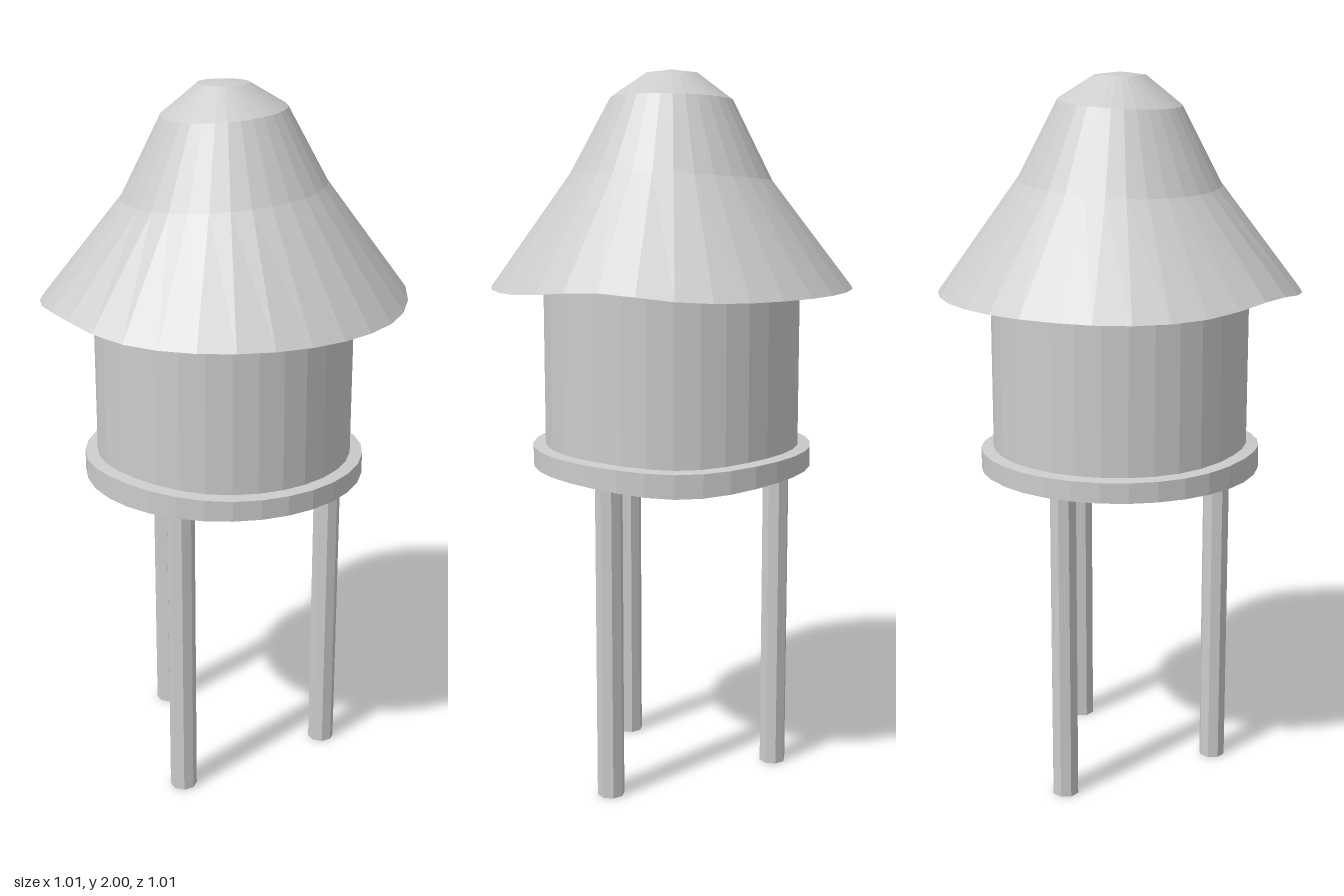
import * as THREE from 'three';

const SIDES = 32;
const material = new THREE.MeshStandardMaterial({ color: 0xcccccc, flatShading: true, side: THREE.DoubleSide });

// Smooth bump around a compass angle (degrees, from +x towards +z)
function bump(angle, centre, width) {
  const d = Math.atan2(Math.sin(angle - centre * Math.PI / 180), Math.cos(angle - centre * Math.PI / 180));
  return Math.exp(-((d * 180 / Math.PI / width) ** 2));
}

// Height wobble of each hand-made edge
const eaveWave = a => 0.026 * bump(a, -32, 22) + 0.026 * bump(a, 130, 20) - 0.005 * bump(a, 180, 25);
const slopeWave = a => 0.02 * Math.cos(a) - 0.008 * Math.sin(a);
const crownWave = a => 0.01 * Math.cos(a) - 0.008 * Math.sin(a);
const deckWave = a => 0.012 * bump(a, 115, 30) - 0.012 * bump(a, -60, 28);
const skirtWave = a => -0.022 * bump(a, -60, 32);
const still = () => 0;

// Lathe a profile of [radius, height, wave] rings, then wobble each ring
function turned(name, rings) {
  const geometry = new THREE.LatheGeometry(rings.map(([r, y]) => new THREE.Vector2(r, y)), SIDES);
  const p = geometry.attributes.position;
  for (let i = 0; i < p.count; i++) {
    const wave = rings[i % rings.length][2];
    p.setY(i, p.getY(i) + wave(Math.atan2(p.getZ(i), p.getX(i))));
  }
  geometry.computeVertexNormals();
  const mesh = new THREE.Mesh(geometry, material);
  mesh.name = name;
  return mesh;
}

export function createModel() {
  const group = new THREE.Group();
  group.name = 'stiltHut';

  // Bell-shaped roof with its flat underside
  group.add(turned('roof', [
    [0.36, 1.41, eaveWave],
    [0.505, 1.408, eaveWave],
    [0.28, 1.71, slopeWave],
    [0.17, 1.92, crownWave],
    [0.07, 1.992, still],
    [0, 2, still],
  ]));

  // Round wall, open inside
  group.add(turned('wall', [
    [0.36, 0.967, deckWave],
    [0.36, 1.41, eaveWave],
  ]));

  // Narrow ledge with a hanging skirt, open below
  group.add(turned('platform', [
    [0.395, 0.907, skirtWave],
    [0.395, 0.963, deckWave],
    [0.36, 0.967, deckWave],
  ]));

  // Three octagonal stilts
  const height = 0.92;
  const legGeometry = new THREE.CylinderGeometry(0.038, 0.038, height, 8);
  legGeometry.rotateY(Math.PI / 8);
  for (const [x, z] of [[-0.03, 0.275], [0.28, -0.105], [-0.245, -0.17]]) {
    const leg = new THREE.Mesh(legGeometry, material);
    leg.position.set(x, height / 2, z);
    leg.name = 'leg';
    group.add(leg);
  }
  return group;
}
